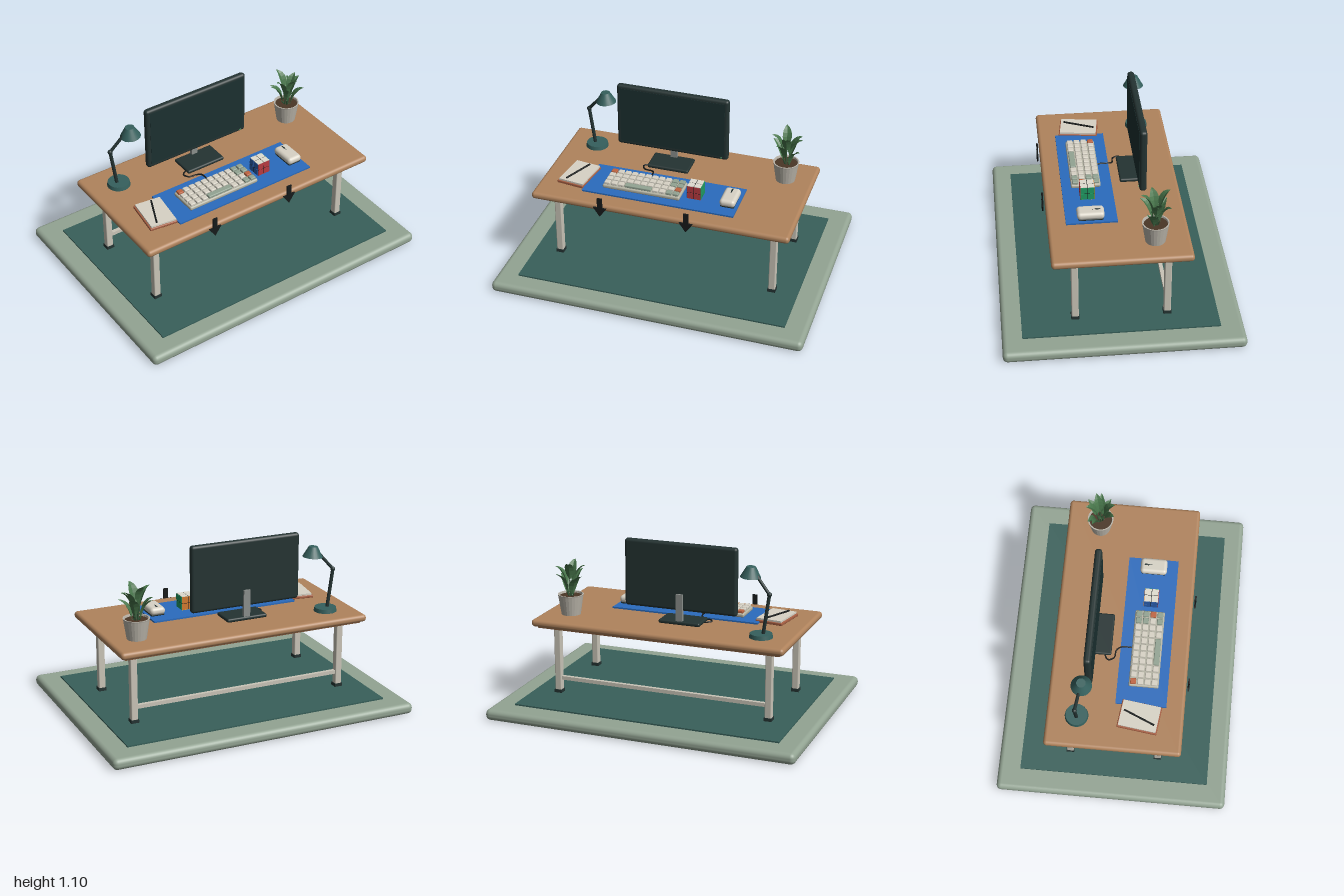
import * as THREE from 'three';
import { RoundedBoxGeometry } from 'three/addons/geometries/RoundedBoxGeometry.js';

const C = {
  sage: 0x93a493, rug: 0x38605a, wood: 0xb0835c, woodDark: 0x7a5438, leg: 0xcac5b8, dark: 0x243332,
  screen: 0x1b3030, blue: 0x2a6cbe, cream: 0xd8d3c6, orange: 0xbf6440, teal: 0x35605d, green: 0x47754a,
  black: 0x161a1a, pot: 0xbab5aa, soil: 0x4a3626, cover: 0xa85f42,
};

export function createModel() {
  const root = new THREE.Group();
  const mats = {};
  const mat = (color) => (mats[color] ??= new THREE.MeshStandardMaterial({ color }));

  function add(name, geo, color, x = 0, y = 0, z = 0, parent = root) {
    const m = new THREE.Mesh(geo, mat(color));
    m.name = name;
    m.position.set(x, y, z);
    parent.add(m);
    return m;
  }
  function group(name, x = 0, y = 0, z = 0) {
    const g = new THREE.Group();
    g.name = name;
    g.position.set(x, y, z);
    root.add(g);
    return g;
  }
  const box = (w, h, d) => new THREE.BoxGeometry(w, h, d);
  const round = (w, h, d, r, s = 3) => new RoundedBoxGeometry(w, h, d, s, r);
  // Cylinder running between two points
  function rod(name, a, b, r, color, parent = root, sides = 12) {
    const A = new THREE.Vector3(...a), B = new THREE.Vector3(...b);
    const dir = B.clone().sub(A);
    const m = add(name, new THREE.CylinderGeometry(r, r, dir.length(), sides), color, 0, 0, 0, parent);
    m.position.copy(A).add(B).multiplyScalar(0.5);
    m.quaternion.setFromUnitVectors(new THREE.Vector3(0, 1, 0), dir.normalize());
    return m;
  }

  // Floor slab and rug
  add('floorSlab', round(2, 0.07, 1.465, 0.03), C.sage, 0, 0.036, 0);
  add('rug', box(1.725, 0.012, 1.2), C.rug, 0, 0.074, 0.01);

  // Desk
  const desk = group('desk');
  add('deskTop', round(1.645, 0.046, 0.845, 0.021), C.wood, -0.002, 0.563, 0, desk);
  add('deskUnderside', box(1.58, 0.02, 0.78), C.woodDark, -0.002, 0.538, 0, desk);
  for (const x of [-0.7, 0.7]) for (const z of [-0.281, 0.281]) {
    add('deskLeg', round(0.043, 0.45, 0.043, 0.006, 2), C.leg, x, 0.315, z, desk);
    add('legFoot', box(0.05, 0.022, 0.05), C.dark, x, 0.09, z, desk);
  }
  add('rearRail', box(1.38, 0.024, 0.024), C.leg, 0, 0.178, -0.281, desk);

  // Monitor
  const monitor = group('monitor', -0.09, 0, -0.177);
  add('monitorCase', round(0.732, 0.426, 0.044, 0.018), C.dark, 0, 0.893, 0, monitor);
  add('monitorScreen', box(0.685, 0.375, 0.004), C.screen, 0, 0.896, 0.022, monitor);
  add('powerLight', box(0.012, 0.006, 0.004), 0x5fae7a, 0.325, 0.696, 0.022, monitor);
  add('monitorNeck', box(0.042, 0.185, 0.022), 0x8b8f8c, 0, 0.695, -0.025, monitor);
  add('monitorFoot', round(0.27, 0.024, 0.16, 0.01, 2), C.dark, 0, 0.606, 0.038, monitor);

  // Cable from monitor foot to keyboard
  const cable = new THREE.CatmullRomCurve3([
    [-0.17, -0.1], [-0.225, -0.097], [-0.252, -0.075], [-0.235, -0.04],
    [-0.185, -0.03], [-0.165, 0.0], [-0.163, 0.07],
  ].map(([x, z], i) => new THREE.Vector3(x, i > 4 ? 0.606 : 0.595, z)));
  add('cable', new THREE.TubeGeometry(cable, 40, 0.005, 6), C.black);

  // Desk mat
  add('deskMat', box(0.975, 0.01, 0.315), C.blue, -0.042, 0.591, 0.152);

  // Keyboard: 4 rows of 11 columns, with a space bar in the last row
  const keyboard = group('keyboard', -0.165, 0.596, 0.158);
  add('keyboardCase', round(0.5, 0.026, 0.186, 0.01, 2), 0xb5b4a4, 0, 0.013, 0, keyboard);
  for (let r = 0; r < 4; r++) for (let c = 0; c < 11; c++) {
    const space = r === 3 && c === 3;
    if (r === 3 && c > 3 && c < 7) continue;
    let color = C.cream;
    if ((r === 0 && c === 0) || (r === 2 && c === 10)) color = C.orange;
    else if (space || c === 10 || (c === 9 && r !== 2)) color = C.sage;
    const w = space ? 0.037 + 3 * 0.0445 : 0.037;
    const x = -0.2225 + (c + (space ? 1.5 : 0)) * 0.0445;
    add(space ? 'spaceBar' : 'key', round(w, 0.018, 0.036, 0.005, 1), color, x, 0.033, -0.066 + r * 0.044, keyboard);
  }

  // Puzzle cube with four tiles on each face
  const cube = group('puzzleCube', 0.164, 0.641, 0.158);
  add('cubeCore', round(0.088, 0.088, 0.088, 0.004, 1), C.black, 0, 0, 0, cube);
  const faces = [
    [0, 0, 0xb83a40], [0, Math.PI / 2, 0x1f9a63], [0, Math.PI, 0xd07a30],
    [0, -Math.PI / 2, 0x2a5fb0], [-Math.PI / 2, 0, 0xe0ddd0], [Math.PI / 2, 0, 0xd8c040],
  ];
  for (const [rx, ry, color] of faces) {
    const face = new THREE.Group();
    face.rotation.set(rx, ry, 0);
    cube.add(face);
    for (const x of [-1, 1]) for (const y of [-1, 1])
      add('cubeTile', box(0.041, 0.041, 0.004), color, x * 0.0222, y * 0.0222, 0.0435, face);
  }

  // Mouse
  const mouse = group('mouse', 0.384, 0.596, 0.156);
  add('mouseBody', round(0.1, 0.048, 0.168, 0.022, 4), C.cream, 0, 0.03, 0, mouse);
  add('mouseBase', round(0.088, 0.012, 0.15, 0.005, 1), C.dark, 0, 0.006, 0, mouse);
  add('mouseSeam', box(0.003, 0.002, 0.05), C.dark, 0, 0.054, -0.035, mouse);
  add('mouseWheel', round(0.009, 0.008, 0.028, 0.003, 2), C.dark, 0, 0.054, -0.045, mouse);

  // Notebook and pen
  const notebook = group('notebook', -0.605, 0.586, 0.15);
  notebook.rotation.y = -0.13;
  add('notebookCover', round(0.18, 0.018, 0.25, 0.005, 1), C.cover, 0, 0.009, 0, notebook);
  add('notebookPages', box(0.165, 0.014, 0.235), C.cream, 0.002, 0.022, 0, notebook);
  rod('pen', [-0.037, 0.034, 0.1], [0.02, 0.034, -0.1], 0.006, C.black, notebook, 8);

  // Desk lamp
  const lamp = group('lamp');
  add('lampBase', new THREE.CylinderGeometry(0.068, 0.073, 0.026, 28), C.teal, -0.627, 0.598, -0.235, lamp);
  const elbow = [-0.675, 0.855, -0.235], head = [-0.565, 0.985, -0.208];
  rod('lampLowerArm', [-0.64, 0.605, -0.235], elbow, 0.011, C.dark, lamp);
  rod('lampUpperArm', elbow, head, 0.01, C.dark, lamp);
  add('lampJoint', new THREE.SphereGeometry(0.015, 14, 10), C.dark, ...elbow, lamp);
  const shade = add('lampShade', new THREE.CylinderGeometry(0.028, 0.064, 0.066, 24), C.teal, -0.547, 0.976, -0.204, lamp);
  shade.rotation.z = 0.06;
  add('lampDiffuser', new THREE.CylinderGeometry(0.055, 0.055, 0.004, 24), C.cream, 0, -0.033, 0, shade);

  // Potted plant
  const plant = group('plant', 0.642, 0.586, -0.208);
  const potProfile = [[0, 0], [0.061, 0], [0.08, 0.122], [0.082, 0.13], [0.074, 0.13], [0.071, 0.115]]
    .map(([x, y]) => new THREE.Vector2(x, y));
  const pot = add('pot', new THREE.LatheGeometry(potProfile, 24), C.pot, 0, 0, 0, plant);
  pot.material = new THREE.MeshStandardMaterial({ color: C.pot, side: THREE.DoubleSide, flatShading: true });
  add('soil', new THREE.CylinderGeometry(0.073, 0.07, 0.01, 24), C.soil, 0, 0.113, 0, plant);

  // Folded leaf blade following a curved spine in the x-y plane
  const leafMat = new THREE.MeshStandardMaterial({ color: C.green, side: THREE.DoubleSide, flatShading: true });
  function leafGeometry(start, mid, tip, width) {
    const spine = new THREE.QuadraticBezierCurve3(start, mid, tip);
    const pos = [], idx = [], n = 6;
    for (let i = 0; i <= n; i++) {
      const t = i / n, p = spine.getPoint(t), d = spine.getTangent(t);
      const w = width * Math.sin(Math.PI * Math.pow(t, 0.75));
      for (const s of [-1, 0, 1]) {
        const fold = s ? w * 0.4 : 0;
        pos.push(p.x - d.y * fold, p.y + d.x * fold, p.z + s * w);
      }
      if (i < n) for (const k of [0, 1]) {
        const a = i * 3 + k;
        idx.push(a, a + 1, a + 3, a + 1, a + 4, a + 3);
      }
    }
    const g = new THREE.BufferGeometry();
    g.setAttribute('position', new THREE.Float32BufferAttribute(pos, 3));
    g.setIndex(idx);
    g.computeVertexNormals();
    return g;
  }
  const tipHeights = [0.3, 0.25, 0.335, 0.27, 0.32, 0.24, 0.345, 0.28, 0.31, 0.26];
  tipHeights.forEach((h, i) => {
    const stalk = new THREE.Group();
    stalk.name = 'leafStalk';
    stalk.rotation.y = i * 2.4;
    plant.add(stalk);
    const reach = 0.145 - h * 0.2;
    const start = new THREE.Vector3(reach * 0.3, h - 0.12, 0);
    const mid = new THREE.Vector3(reach * 0.55, h - 0.015, 0);
    rod('leafStem', [0.012, 0.115, 0], start.toArray(), 0.004, 0x365a3a, stalk, 6);
    const leaf = add('leaf', leafGeometry(start, mid, new THREE.Vector3(reach + 0.015, h, 0), 0.029), C.green, 0, 0, 0, stalk);
    leaf.material = leafMat;
  });

  // Downward arrows floating in front of the desk edge
  const arrow = new THREE.Shape([
    [-0.016, 0.065], [0.016, 0.065], [0.016, -0.003], [0.043, -0.003],
    [0, -0.065], [-0.043, -0.003], [-0.016, -0.003],
  ].map(([x, y]) => new THREE.Vector2(x, y)));
  const arrowGeo = new THREE.ExtrudeGeometry(arrow, { depth: 0.01, bevelEnabled: false });
  for (const x of [-0.365, 0.186]) add('downArrow', arrowGeo, C.black, x, 0.578, 0.431);

  return root;
}
